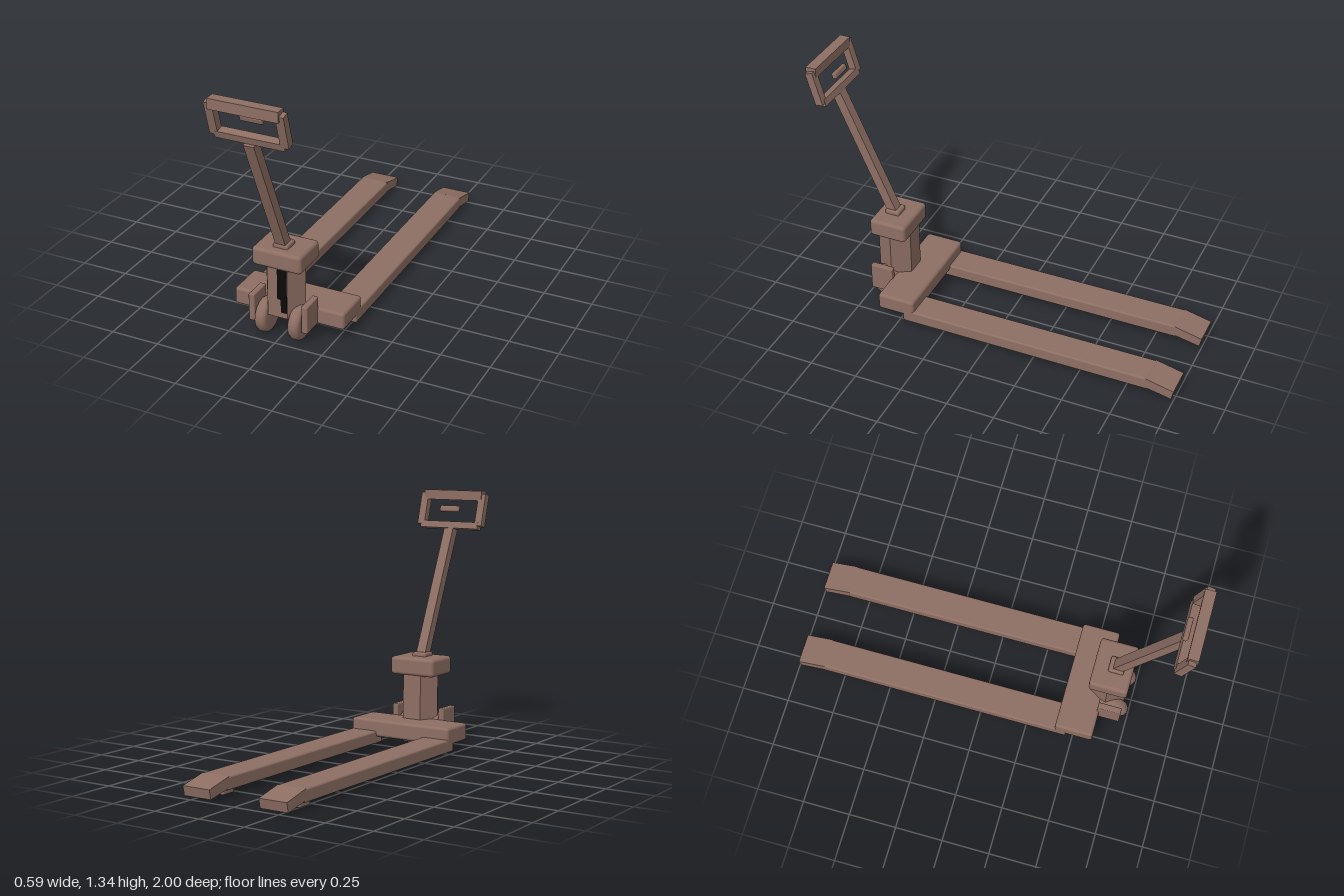
import * as THREE from 'three';
import { RoundedBoxGeometry } from 'three/addons/geometries/RoundedBoxGeometry.js';

export function createModel() {
  const model = new THREE.Group();
  model.name = 'palletJack';
  const brown = new THREE.MeshStandardMaterial({ color: 0x8d6e63 });
  brown.name = 'brown paint';
  const black = new THREE.MeshStandardMaterial({ color: 0x0a0a0a });
  black.name = 'black';

  const add = (name, geometry, x = 0, y = 0, z = 0, tilt = 0, material = brown) => {
    const mesh = new THREE.Mesh(geometry, material);
    mesh.name = name;
    mesh.position.set(x, y, z);
    mesh.rotation.x = tilt;
    model.add(mesh);
    return mesh;
  };
  const box = (w, h, d) => new THREE.BoxGeometry(w, h, d);
  const rounded = (w, h, d, r) => new RoundedBoxGeometry(w, h, d, 3, r);

  // Side outline given as [z, y] points, extruded across x
  const sideExtrude = (points, width) => {
    const shape = new THREE.Shape(points.map(([z, y]) => new THREE.Vector2(-z, y)));
    const g = new THREE.ExtrudeGeometry(shape, { depth: width, bevelEnabled: false });
    return g.translate(0, 0, -width / 2).rotateY(Math.PI / 2);
  };

  // Wheel: rounded rim profile turned about x
  const wheelProfile = [
    [0, -0.032], [0.068, -0.032], [0.082, -0.025], [0.09, -0.012],
    [0.09, 0.012], [0.082, 0.025], [0.068, 0.032], [0, 0.032],
  ].map(([r, h]) => new THREE.Vector2(r, h));
  const wheel = new THREE.LatheGeometry(wheelProfile, 16).rotateZ(Math.PI / 2);

  const forkTip = [[-0.855, 0.1], [-0.855, 0.045], [-0.99, 0.017], [-1, 0.066]];

  // Mirrored parts: forks, tips, load rollers, wheels, brackets
  for (const [side, label] of [[1, 'left'], [-1, 'right']]) {
    add(label + 'Fork', rounded(0.155, 0.067, 1.33, 0.01), side * 0.2175, 0.067, -0.2);
    add(label + 'ForkTip', sideExtrude(forkTip, 0.155), side * 0.2175);
    add(label + 'LoadRoller', rounded(0.085, 0.035, 0.085, 0.008), side * 0.2175, 0.022, -0.81);
    add(label + 'Wheel', wheel, side * 0.088, 0.096, 0.656);
    add(label + 'Bracket', rounded(0.032, 0.145, 0.122, 0.006), side * 0.141, 0.147, 0.655);
  }

  // Chassis cross member
  add('crossMember', rounded(0.59, 0.09, 0.2, 0.015), 0, 0.115, 0.505);

  // Hexagonal pump column, flat face forward
  const hex = new THREE.CylinderGeometry(0.105, 0.105, 0.27, 6).rotateY(Math.PI / 6).toNonIndexed();
  hex.computeVertexNormals();
  add('pumpColumn', hex, 0, 0.265, 0.623);
  add('columnSlotLong', box(0.032, 0.23, 0.004), 0.034, 0.275, 0.714, 0, black);
  add('columnSlotShort', box(0.018, 0.16, 0.004), 0.009, 0.31, 0.714, 0, black);

  // Pump head and handle pivot
  add('pumpHead', rounded(0.26, 0.095, 0.2, 0.018), 0, 0.438, 0.625);
  add('handlePivot', rounded(0.082, 0.06, 0.08, 0.01), 0, 0.476, 0.64);

  // Leaning shaft
  add('shaft', box(0.054, 0.71, 0.05), 0, 0.815, 0.786, 0.415);

  // Handle frame and control lever
  const lean = 0.28;
  add('lowerGrip', box(0.35, 0.036, 0.042), 0, 1.158, 0.925, lean);
  add('upperGrip', box(0.35, 0.052, 0.054), 0, 1.32, 0.973, 0);
  for (const [side, label] of [[1, 'left'], [-1, 'right']]) {
    add(label + 'HandleBar', box(0.042, 0.175, 0.04), side * 0.176, 1.242, 0.95, lean);
  }
  add('controlLever', rounded(0.116, 0.034, 0.024, 0.01), 0, 1.248, 0.917, lean);

  return model;
}
